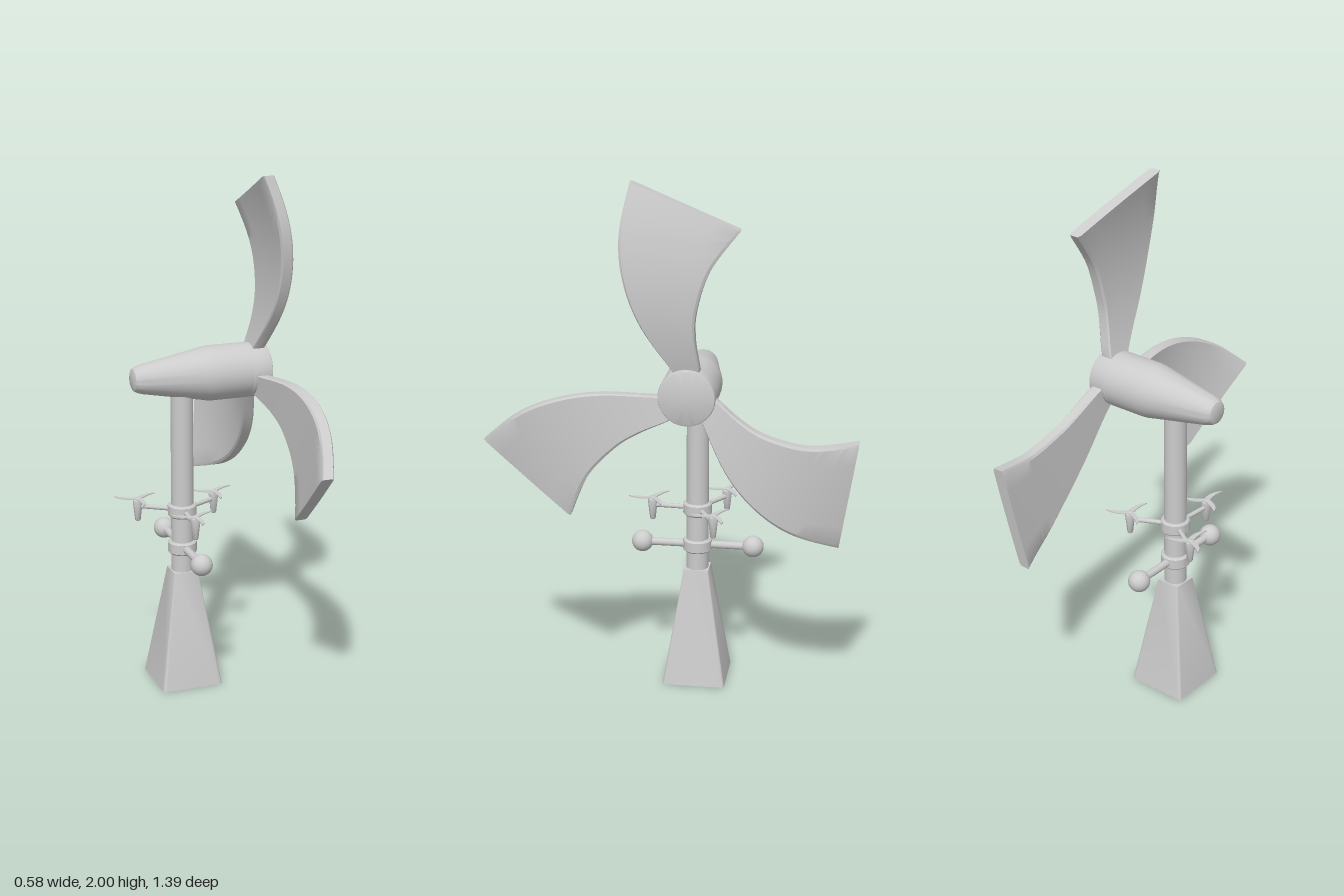
import * as THREE from 'three';
import { toCreasedNormals } from 'three/addons/utils/BufferGeometryUtils.js';

const material = new THREE.MeshStandardMaterial({ color: 0xcccccc });
const POLE_X = -0.065, POLE_Z = -0.068, HUB_Y = 1.24;
const vec = ([x, y]) => new THREE.Vector2(x, y);

function add(parent, name, geometry, x = 0, y = 0, z = 0) {
  const mesh = new THREE.Mesh(geometry, material);
  mesh.name = name;
  mesh.position.set(x, y, z);
  parent.add(mesh);
  return mesh;
}

const lathe = (points, segments = 40) =>
  toCreasedNormals(new THREE.LatheGeometry(points.map(vec), segments), 0.6);

// Rounded square column that narrows towards the top
function baseGeometry(half, topHalf, height) {
  const r = 0.012, s = new THREE.Shape();
  s.absarc(half - r, half - r, r, 0, Math.PI / 2);
  s.absarc(-half + r, half - r, r, Math.PI / 2, Math.PI);
  s.absarc(-half + r, -half + r, r, Math.PI, Math.PI * 1.5);
  s.absarc(half - r, -half + r, r, Math.PI * 1.5, Math.PI * 2);
  const g = new THREE.ExtrudeGeometry(s, { depth: height, bevelEnabled: false, curveSegments: 5 });
  g.rotateX(-Math.PI / 2);
  const p = g.attributes.position;
  for (let i = 0; i < p.count; i++) {
    const k = THREE.MathUtils.lerp(1, topHalf / half, p.getY(i) / height);
    p.setXYZ(i, p.getX(i) * k, p.getY(i), p.getZ(i) * k);
  }
  return toCreasedNormals(g, 0.6);
}

// Broad blade: chamfered sections swept between two curved edges and bowed along x
function bladeGeometry(mirrored) {
  const convex = new THREE.SplineCurve([[-0.03, 0.04], [-0.05, 0.09], [-0.164, 0.265],
    [-0.223, 0.424], [-0.239, 0.584], [-0.207, 0.764]].map(vec));
  const concave = new THREE.SplineCurve([[0.03, 0.04], [0.046, 0.09], [0.032, 0.212],
    [0.037, 0.318], [0.085, 0.467], [0.19, 0.61]].map(vec));
  const side = mirrored ? 1 : -1, rows = 28;
  const columns = [0, 0.03, 0.2, 0.4, 0.6, 0.8, 0.97, 1], n = columns.length;
  const section = [...columns.map(u => [u, 1]), ...columns.map(u => [1 - u, -1])];
  const count = section.length, positions = [], index = [];
  for (let i = 0; i <= rows; i++) {
    const a = convex.getPoint(i / rows), b = concave.getPoint(i / rows);
    for (const [u, face] of section) {
      const w = a.x + (b.x - a.x) * u, h = a.y + (b.y - a.y) * u;
      const half = u === 0 || u === 1 ? 0.018 : 0.024;
      positions.push(0.267 - 0.49 * (h - 0.38) ** 2 + face * half, h, side * w);
    }
  }
  const quad = (a, b, c, d) => mirrored
    ? index.push(a, c, b, a, d, c)
    : index.push(a, b, c, a, c, d);
  for (let i = 0; i < rows; i++)
    for (let j = 0; j < count; j++) {
      const k = (j + 1) % count, r = i * count, s = r + count;
      quad(r + j, r + k, s + k, s + j);
    }
  for (let j = 0; j < n - 1; j++) {
    const t = rows * count, back = count - 1 - j;
    quad(t + j, t + j + 1, t + back - 1, t + back);
    quad(back, back - 1, j + 1, j);
  }
  const g = new THREE.BufferGeometry();
  g.setAttribute('position', new THREE.Float32BufferAttribute(positions, 3));
  g.setIndex(index);
  return toCreasedNormals(g, 0.5);
}

// Thin crescent blade lying flat, pointing along +x
function smallBladeGeometry() {
  const s = new THREE.Shape();
  s.moveTo(0, -0.012);
  s.quadraticCurveTo(0.06, -0.03, 0.095, 0);
  s.quadraticCurveTo(0.05, -0.006, 0, 0.012);
  const g = new THREE.ExtrudeGeometry(s, { depth: 0.004, bevelEnabled: false, curveSegments: 10 });
  return g.rotateX(Math.PI / 2);
}

const collarGeometry = () => lathe([[0.04, -0.025], [0.05, -0.025], [0.056, -0.019],
  [0.056, 0.019], [0.05, 0.025], [0.04, 0.025]]);

export function createModel() {
  const model = new THREE.Group();
  model.name = 'windTurbine';

  // Tower
  const tower = new THREE.Group();
  tower.name = 'tower';
  tower.position.set(POLE_X, 0, POLE_Z);
  model.add(tower);
  add(tower, 'base', baseGeometry(0.122, 0.048, 0.46));
  add(tower, 'pole', new THREE.CylinderGeometry(0.043, 0.043, 0.76, 40), 0, 0.83, 0);

  // Lower crossbar with ball ends
  add(tower, 'lowerCollar', collarGeometry(), 0, 0.555, 0);
  const bar = new THREE.CylinderGeometry(0.015, 0.015, 0.43, 20).rotateX(Math.PI / 2);
  add(tower, 'crossbar', bar, 0, 0.555, 0);
  for (const s of [-1, 1])
    add(tower, 'ballEnd', new THREE.SphereGeometry(0.042, 32, 20), 0, 0.555, s * 0.217);

  // Upper collar with three arms carrying small rotors
  add(tower, 'upperCollar', collarGeometry(), 0, 0.705, 0);
  const smallBlade = smallBladeGeometry();
  const pod = lathe([[0, -0.06], [0.008, -0.06], [0.011, -0.055], [0.019, 0.015],
    [0.018, 0.024], [0.011, 0.031], [0, 0.034]], 24);
  for (let i = 0; i < 3; i++) {
    const angle = THREE.MathUtils.degToRad(93.3 + i * 120);
    const arm = new THREE.Group();
    arm.name = 'sensorArm';
    arm.position.y = 0.705;
    arm.rotation.y = -angle;
    tower.add(arm);
    const rod = new THREE.CylinderGeometry(0.009, 0.009, 0.14, 16).rotateZ(Math.PI / 2);
    add(arm, 'armRod', rod, 0.11, 0, 0);
    add(arm, 'rotorPod', pod, 0.178, 0, 0);
    const rotor = new THREE.Group();
    rotor.name = 'smallRotor';
    rotor.position.set(0.178, 0.031, 0);
    rotor.rotation.y = angle;
    arm.add(rotor);
    for (let j = 0; j < 3; j++)
      add(rotor, 'smallBlade', smallBlade).rotation.y = -THREE.MathUtils.degToRad(94 + j * 120);
  }

  // Nacelle and hub, turned about the x axis
  const head = new THREE.Group();
  head.name = 'head';
  head.position.set(0, HUB_Y, POLE_Z);
  model.add(head);
  const nacelle = lathe([[0, -0.263], [0.03, -0.263], [0.042, -0.258], [0.05, -0.245],
    [0.056, -0.225], [0.098, 0], [0.103, 0.025], [0.105, 0.05], [0.105, 0.19], [0, 0.19]], 48);
  add(head, 'nacelle', nacelle.rotateZ(-Math.PI / 2));
  const hub = lathe([[0, 0.188], [0.1, 0.188], [0.105, 0.194], [0.105, 0.259],
    [0.103, 0.265], [0.097, 0.268], [0, 0.268]], 48);
  add(head, 'hub', hub.rotateZ(-Math.PI / 2));

  // Three main blades; the upright one curves the opposite way
  for (let i = 0; i < 3; i++)
    add(head, 'mainBlade', bladeGeometry(i > 0)).rotation.x = i * Math.PI * 2 / 3;

  return model;
}
